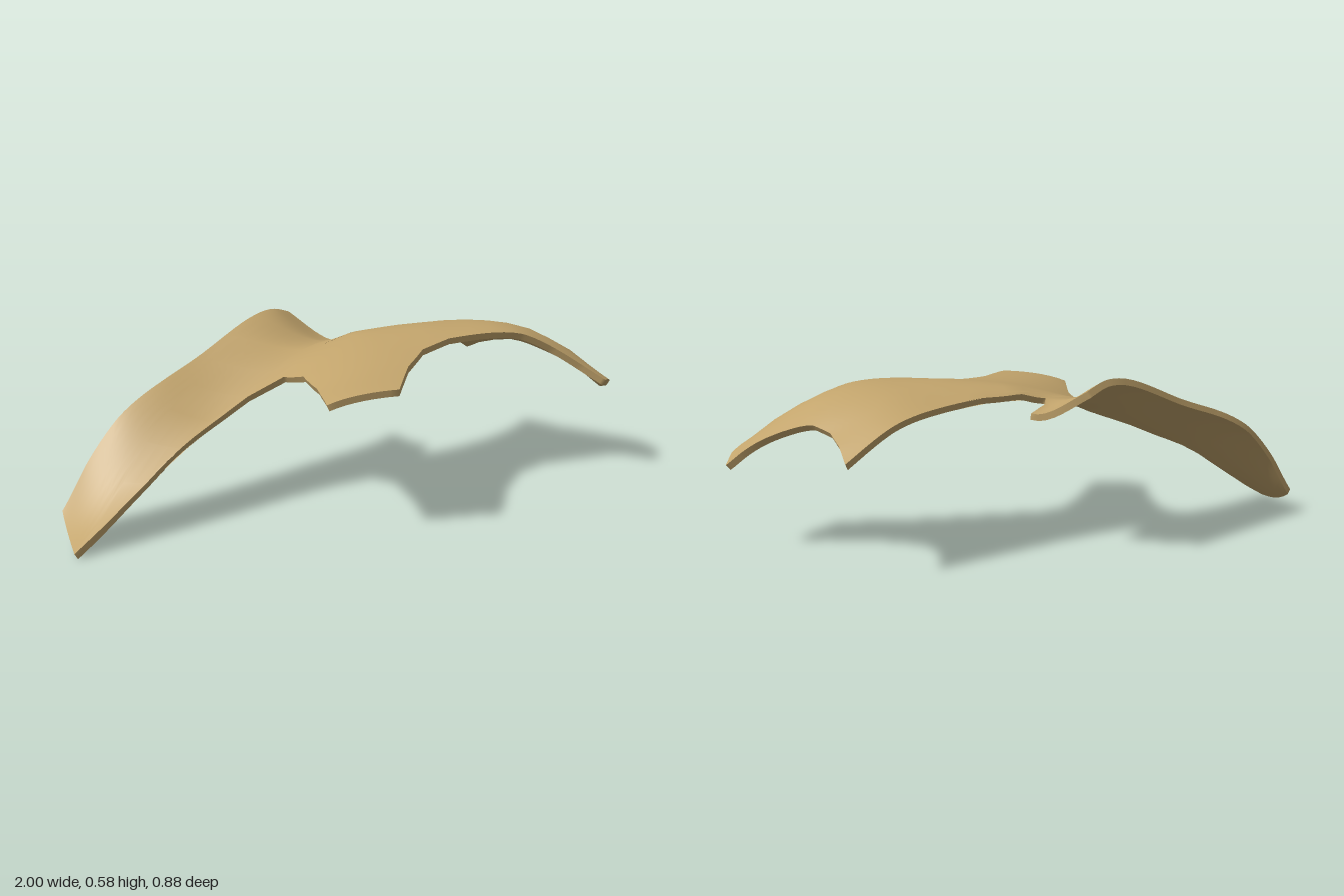
import * as THREE from 'three';

const THICKNESS = 0.022;

// Rim of the three-limbed shell seen from above, as [x, z, height of the upper face]
const RIM = [
  // long arm, back edge and inner end
  [-1, 0.02, 0.075], [-0.91, -0.02, 0.205], [-0.79, -0.07, 0.335], [-0.63, -0.14, 0.42],
  [-0.47, -0.22, 0.48], [-0.25, -0.33, 0.572], [-0.16, -0.38, 0.578], [-0.09, -0.425, 0.553],
  [0.05, -0.28, 0.465], [-0.01, -0.225, 0.482], [-0.02, -0.19, 0.495],
  // back limb
  [0.06, -0.195, 0.512], [0.2, -0.235, 0.512], [0.32, -0.28, 0.5], [0.5, -0.365, 0.46],
  [0.65, -0.44, 0.37], [0.66, -0.36, 0.405], [0.68, -0.28, 0.432], [0.73, -0.21, 0.445],
  // right limb
  [0.82, -0.13, 0.412], [0.95, -0.04, 0.33], [1, -0.01, 0.285], [0.98, 0.06, 0.31],
  [0.9, 0.155, 0.345], [0.82, 0.12, 0.4], [0.72, 0.09, 0.465], [0.6, 0.075, 0.522],
  [0.32, 0.07, 0.53],
  // front limb
  [0.2, 0.12, 0.515], [0.09, 0.25, 0.5], [-0.02, 0.435, 0.486], [-0.24, 0.39, 0.447],
  [-0.2, 0.19, 0.44], [-0.195, 0.04, 0.44], [-0.24, -0.03, 0.425],
  // long arm, front edge
  [-0.37, -0.015, 0.375], [-0.5, 0.03, 0.315], [-0.75, 0.135, 0.175], [-1, 0.24, 0.018],
];

// Crown of the shell, away from the rim
const CROWN = [
  [0.3, -0.04, 0.544], [0.45, -0.06, 0.545], [0.6, -0.09, 0.53], [0.73, -0.06, 0.49],
  [0.84, 0, 0.425], [0.5, -0.22, 0.515], [0.12, -0.03, 0.527],
];

// Smooth height surface (thin-plate spline) through the given points
function heightThrough(points) {
  const n = points.length;
  const size = n + 3;
  const kernel = (dx, dz) => {
    const r2 = dx * dx + dz * dz;
    return r2 < 1e-12 ? 0 : r2 * Math.log(r2);
  };
  const basis = (x, z) => [...points.map((p) => kernel(x - p[0], z - p[1])), 1, x, z];
  const rows = points.map((p) => [...basis(p[0], p[1]), p[2]]);
  for (const f of [() => 1, (p) => p[0], (p) => p[1]]) rows.push([...points.map(f), 0, 0, 0, 0]);

  // Gauss-Jordan elimination with pivoting
  for (let c = 0; c < size; c++) {
    let best = c;
    for (let r = c + 1; r < size; r++) if (Math.abs(rows[r][c]) > Math.abs(rows[best][c])) best = r;
    [rows[c], rows[best]] = [rows[best], rows[c]];
    for (let r = 0; r < size; r++) {
      if (r === c) continue;
      const k = rows[r][c] / rows[c][c];
      for (let j = c; j <= size; j++) rows[r][j] -= k * rows[c][j];
    }
  }
  const weights = rows.map((row, i) => row[size] / row[i]);
  return (x, z) => basis(x, z).reduce((sum, b, i) => sum + b * weights[i], 0);
}

// Fill the rim with triangles, then split each into four a few times
function fillRim(rim, levels) {
  const points = rim.map(([x, z]) => new THREE.Vector2(x, -z)).reverse();
  const cross = ([a, b, c]) => points[b].clone().sub(points[a]).cross(points[c].clone().sub(points[a]));
  let faces = THREE.ShapeUtils.triangulateShape(points.slice(), [])
    .map((f) => (cross(f) < 0 ? [f[0], f[2], f[1]] : f));
  let border = points.map((_, i) => i);
  for (let l = 0; l < levels; l++) {
    const middles = new Map();
    const middle = (a, b) => {
      const key = Math.min(a, b) + '_' + Math.max(a, b);
      if (!middles.has(key)) {
        middles.set(key, points.length);
        points.push(points[a].clone().lerp(points[b], 0.5));
      }
      return middles.get(key);
    };
    faces = faces.flatMap(([a, b, c]) => {
      const ab = middle(a, b), bc = middle(b, c), ca = middle(c, a);
      return [[a, ab, ca], [ab, b, bc], [ca, bc, c], [ab, bc, ca]];
    });
    border = border.flatMap((a, i) => [a, middle(a, border[(i + 1) % border.length])]);
  }
  return { points, faces, border };
}

function geometryFrom(positions, normals, index) {
  const g = new THREE.BufferGeometry();
  g.setAttribute('position', new THREE.Float32BufferAttribute(positions.flatMap((v) => v.toArray()), 3));
  if (normals) g.setAttribute('normal', new THREE.Float32BufferAttribute(normals.flatMap((v) => v.toArray()), 3));
  g.setIndex(index.flat());
  if (!normals) g.computeVertexNormals();
  return g;
}

export function createModel() {
  const group = new THREE.Group();
  group.name = 'curvedShell';
  const tan = new THREE.MeshStandardMaterial({ color: 0xc2a46c });
  tan.name = 'tan';

  const height = heightThrough([...RIM, ...CROWN]);
  const { points, faces, border } = fillRim(RIM, 3);
  const e = 0.004;
  const top = points.map((p) => new THREE.Vector3(p.x, height(p.x, -p.y), -p.y));
  const up = top.map(({ x, z }) => new THREE.Vector3(
    height(x - e, z) - height(x + e, z), 2 * e, height(x, z - e) - height(x, z + e)).normalize());
  const bottom = top.map((v, i) => v.clone().addScaledVector(up[i], -THICKNESS));

  const add = (name, geometry) => {
    const mesh = new THREE.Mesh(geometry, tan);
    mesh.name = name;
    group.add(mesh);
  };

  // Upper and lower faces
  add('upperFace', geometryFrom(top, up, faces));
  add('lowerFace', geometryFrom(bottom, up.map((n) => n.clone().negate()), faces.map(([a, b, c]) => [a, c, b])));

  // Narrow wall around the rim
  const wall = border.flatMap((i) => [bottom[i], top[i]]);
  const count = wall.length;
  const quads = border.map((_, i) => {
    const a = 2 * i, b = (2 * i + 2) % count;
    return [a, b, b + 1, a, b + 1, a + 1];
  });
  add('rimWall', geometryFrom(wall, null, quads));

  // Stand the shell on the ground
  const box = new THREE.Box3().setFromObject(group);
  group.children.forEach((m) => m.geometry.translate(0, -box.min.y, 0));
  return group;
}
